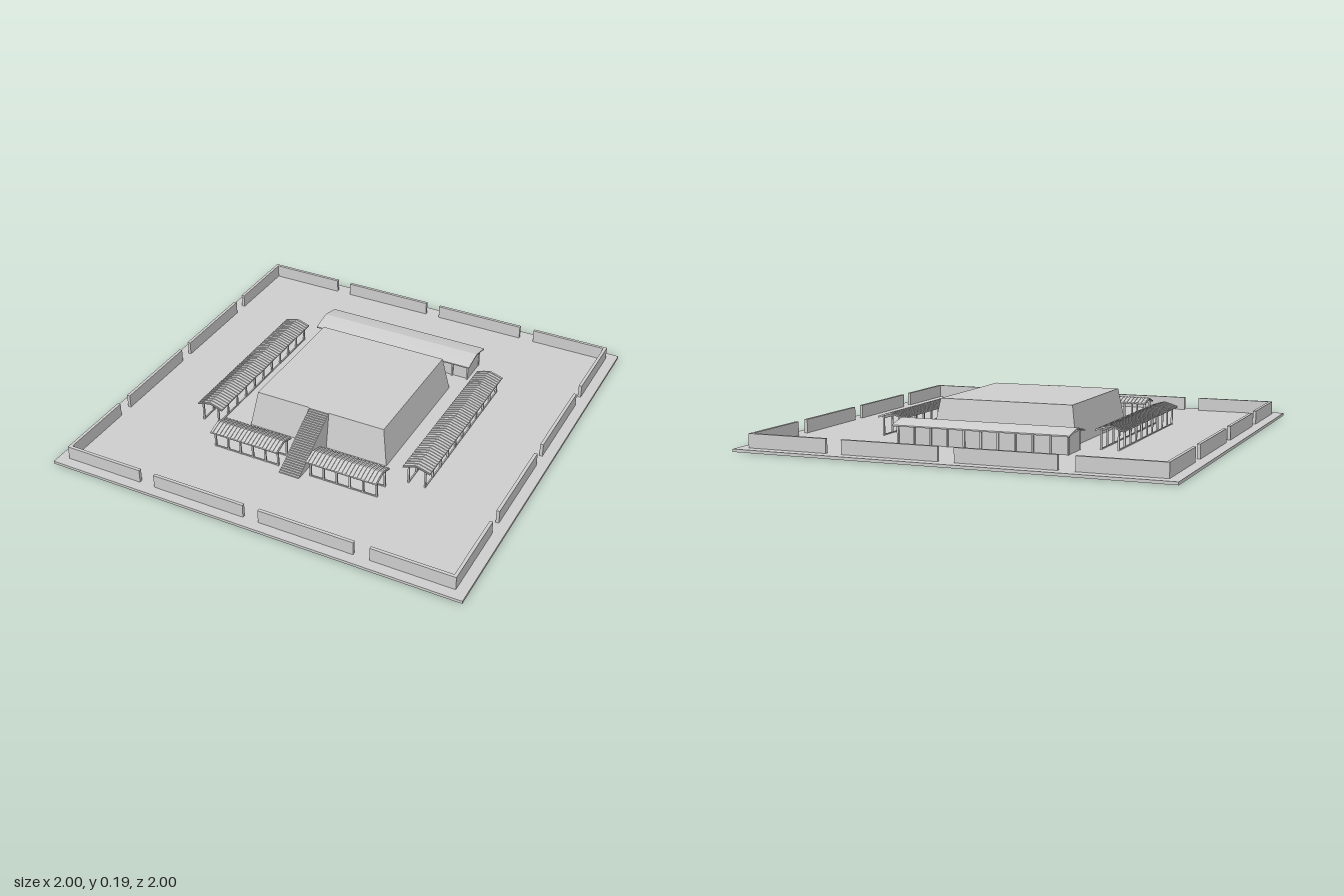
import * as THREE from 'three';

const stone = new THREE.MeshStandardMaterial({ color: 0xcccccc });
stone.name = 'pale grey stone';
const GROUND = 0.013;

function add(parent, name, geometry, x = 0, y = 0, z = 0) {
  const mesh = new THREE.Mesh(geometry, stone);
  mesh.name = name;
  mesh.position.set(x, y, z);
  parent.add(mesh);
  return mesh;
}

// Box given by its lower and upper corners
function block(parent, name, [x0, y0, z0], [x1, y1, z1]) {
  return add(parent, name, new THREE.BoxGeometry(x1 - x0, y1 - y0, z1 - z0),
    (x0 + x1) / 2, (y0 + y1) / 2, (z0 + z1) / 2);
}

// Thin gabled sheet with slightly flared eaves, running along z
function gable(half, eave, ridge, thick, length) {
  const mid = eave + (ridge - eave) * 0.55;
  const top = [[-half, eave], [-half / 2, mid], [0, ridge], [half / 2, mid], [half, eave]];
  const under = top.map(([x, y]) => [x, y - thick]).reverse();
  const shape = new THREE.Shape([...top, ...under].map(p => new THREE.Vector2(...p)));
  const g = new THREE.ExtrudeGeometry(shape, { depth: length, bevelEnabled: false });
  return g.translate(0, 0, -length / 2);
}

// Open walkway along z: posts, beams and a ribbed tile roof
function walkway(name, length, bays) {
  const group = new THREE.Group();
  group.name = name;
  const roofHalf = 0.065, postX = 0.04, end = length / 2 - 0.012;
  add(group, 'walkwayRoof', gable(roofHalf, 0.1, 0.12, 0.005, length));
  const ribs = Math.round(length / 0.0185);
  for (let i = 0; i < ribs; i++) {
    add(group, 'roofRib', gable(roofHalf, 0.103, 0.123, 0.004, 0.009),
      0, 0, -length / 2 + (i + 0.5) * length / ribs);
  }
  for (const side of [-1, 1]) {
    const x = side * postX;
    block(group, 'eaveBeam', [x - 0.003, 0.092, -end], [x + 0.003, 0.104, end]);
    block(group, 'sill', [x - 0.003, GROUND, -end], [x + 0.003, GROUND + 0.005, end]);
    for (let i = 0; i <= bays; i++) {
      const z = -end + 2 * end * i / bays;
      block(group, 'post', [x - 0.004, GROUND, z - 0.004], [x + 0.004, 0.1, z + 0.004]);
    }
  }
  return group;
}

export function createModel() {
  const model = new THREE.Group();
  model.name = 'courtyardCompound';
  block(model, 'groundSlab', [-1, 0, -1], [1, GROUND, 1]);

  // Enclosing wall in four runs per side
  const runs = [[-0.95, -0.565], [-0.49, -0.037], [0.037, 0.49], [0.565, 0.95]];
  for (const s of [-1, 1]) {
    const inner = s * 0.935, outer = s * 0.95;
    const lo = Math.min(inner, outer), hi = Math.max(inner, outer);
    for (const [a, b] of runs) {
      block(model, 'frontBackWall', [a, GROUND, lo], [b, 0.077, hi]);
      // Side runs stop at the corner walls
      const z0 = Math.max(a, -0.935), z1 = Math.min(b, 0.935);
      block(model, 'sideWall', [lo, GROUND, z0], [hi, 0.077, z1]);
    }
  }

  // Central mound with sloping sides
  const height = 0.187 - GROUND;
  const mound = new THREE.BoxGeometry(0.704, height, 0.704);
  const p = mound.attributes.position;
  for (let i = 0; i < p.count; i++) {
    if (p.getY(i) > 0) p.setXYZ(i, p.getX(i) * 0.917, p.getY(i), p.getZ(i) * 0.917);
  }
  mound.computeVertexNormals();
  add(model, 'mound', mound, 0, GROUND + height / 2, -0.001);

  // Long flight of fine steps up the front
  const steps = 30, zTop = 0.318, zFoot = 0.61;
  const profile = new THREE.Shape();
  profile.moveTo(zTop, GROUND);
  profile.lineTo(zFoot, GROUND);
  for (let i = 0; i < steps; i++) {
    const y = GROUND + height * (i + 1) / steps;
    profile.lineTo(zFoot + (zTop - zFoot) * i / steps, y);
    profile.lineTo(zFoot + (zTop - zFoot) * (i + 1) / steps, y);
  }
  const flight = new THREE.ExtrudeGeometry(profile, { depth: 0.1, bevelEnabled: false });
  flight.rotateY(-Math.PI / 2);
  add(model, 'stairs', flight, 0.047, 0.0005, 0);

  // Walkways on both sides and either side of the stairs
  for (const s of [-1, 1]) {
    const side = walkway(s > 0 ? 'leftWalkway' : 'rightWalkway', 0.85, 10);
    side.position.set(s * 0.53, 0, -0.003);
    const front = walkway(s > 0 ? 'frontLeftWalkway' : 'frontRightWalkway', 0.35, 5);
    front.rotation.y = Math.PI / 2;
    front.position.set(s * 0.246, 0, 0.525);
    model.add(side, front);
  }

  // Closed hall at the back with a plain roof
  const hall = new THREE.Group();
  hall.name = 'backHall';
  hall.position.set(-0.003, 0, -0.532);
  block(hall, 'hallBody', [-0.405, GROUND, -0.066], [0.405, 0.1, 0.066]);
  const roof = add(hall, 'hallRoof', gable(0.098, 0.1, 0.122, 0.006, 0.84));
  roof.rotation.y = Math.PI / 2;
  for (const s of [-1, 1]) {
    for (let i = 0; i <= 10; i++) {
      const x = -0.403 + 0.0806 * i, z = s * 0.07;
      block(hall, 'hallPost', [x - 0.004, GROUND, z - 0.005], [x + 0.004, 0.1, z + 0.005]);
    }
    block(hall, 'hallBeam', [-0.407, 0.09, s * 0.07 - 0.004], [0.407, 0.1, s * 0.07 + 0.004]);
  }
  model.add(hall);
  return model;
}
